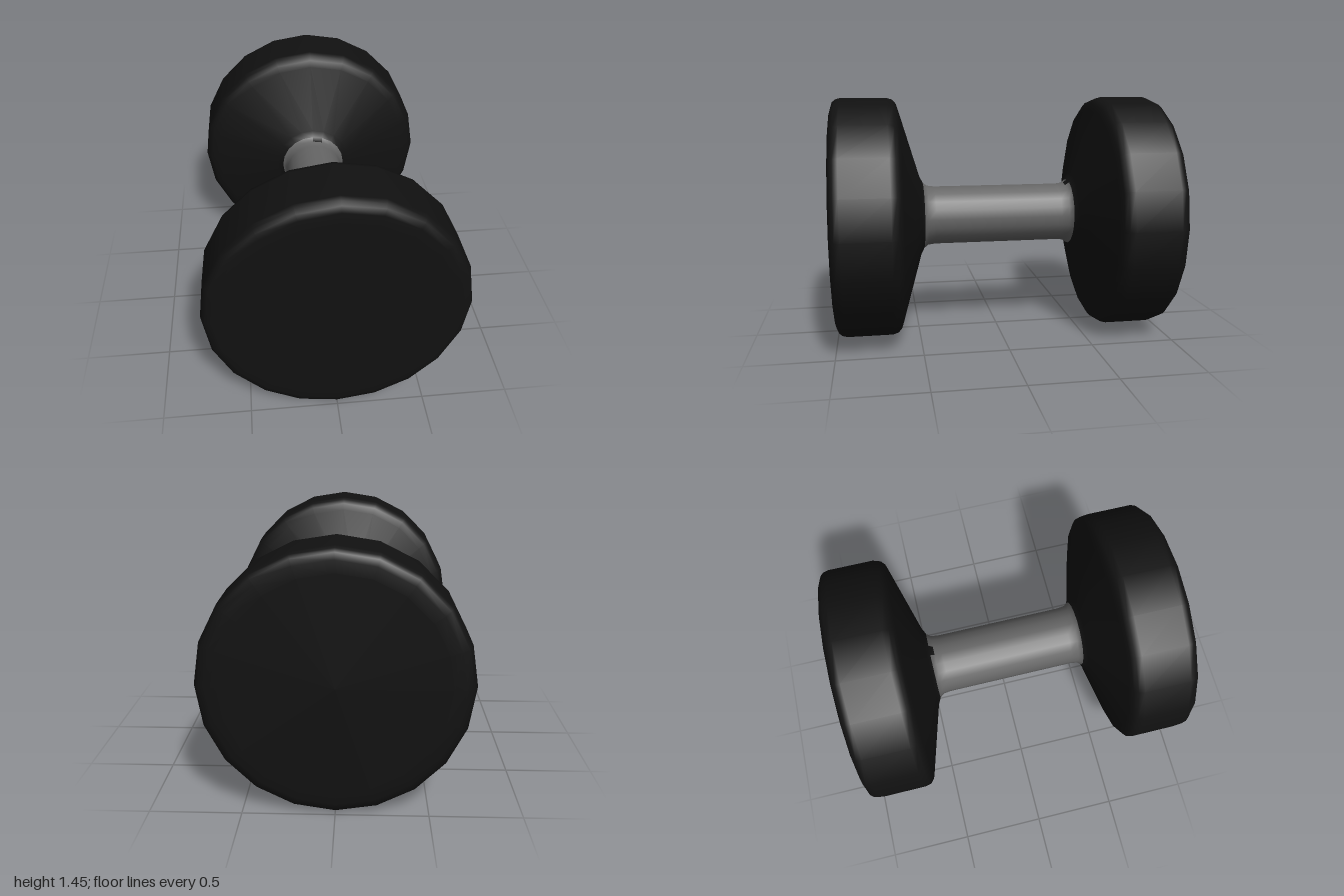
import * as THREE from 'three';

const SIDES = 20;
const RADIUS = 0.725;

// Half profile from the middle of the handle to the end cap: [radius, distance]
const HALF = [
  [0.18, 0.39], [0.186, 0.435], [0.205, 0.46], [0.245, 0.48], // handle and fillet
  [0.65, 0.6], [0.69, 0.613], [0.715, 0.635], [RADIUS, 0.67], // cone and inner rim
  [RADIUS, 0.94], [0.717, 0.97], [0.7, 0.99], [0.665, 1], [0.6, 1], [0, 1], // outer rim and cap
];
const HANDLE_END = 3; // faces before this profile point belong to the handle

export function createModel() {
  const group = new THREE.Group();
  group.name = 'dumbbell';

  // One turned body, so the shading runs smoothly through all parts
  const n = HALF.length;
  const profile = [
    ...HALF.map(([r, d]) => new THREE.Vector2(r, -d)).reverse(),
    ...HALF.map(([r, d]) => new THREE.Vector2(r, d)),
  ];
  const body = new THREE.LatheGeometry(profile, SIDES);
  body.rotateX(Math.PI / 2);
  body.translate(0, RADIUS, 0);

  // Sort the faces into handle and weights
  const faces = { handle: [], frontWeight: [], backWeight: [] };
  const index = body.index.array;
  const rings = profile.length - 1;
  for (let side = 0; side < SIDES; side++) {
    for (let ring = 0; ring < rings; ring++) {
      let part = 'handle';
      if (ring < n - HANDLE_END) part = 'backWeight';
      else if (ring > n + HANDLE_END - 2) part = 'frontWeight';
      // Small dark tab reaching onto the top of the handle
      if (side === SIDES / 2 - 1 && ring === n - HANDLE_END) part = 'backWeight';
      const start = (side * rings + ring) * 6;
      faces[part].push(...index.slice(start, start + 6));
    }
  }

  const rubber = new THREE.MeshStandardMaterial({ color: 0x111111 });
  const metal = new THREE.MeshStandardMaterial({ color: 0x666666 });
  for (const [name, list] of Object.entries(faces)) {
    const geometry = body.clone();
    geometry.setIndex(list);
    const mesh = new THREE.Mesh(geometry, name === 'handle' ? metal : rubber);
    mesh.name = name;
    group.add(mesh);
  }
  return group;
}
